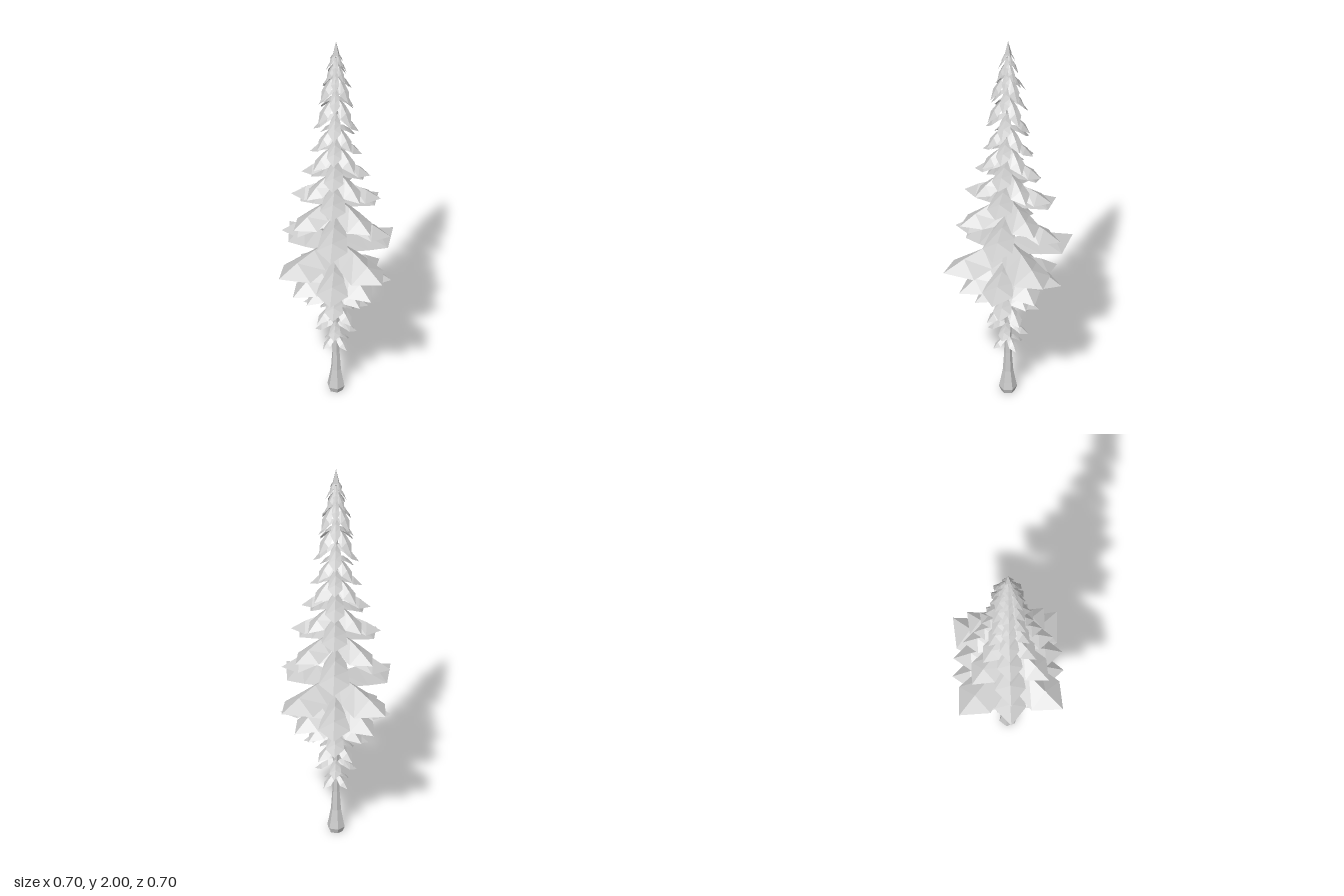
import * as THREE from 'three';

const material = new THREE.MeshStandardMaterial({ color: 0xcccccc, flatShading: true, side: THREE.DoubleSide });

// One folded bough pointing along +z: ridge in the middle, both edges drooping, pointed tip.
function boughGeometry(reach, rise) {
  const fold = 0.2 * reach;
  // distance, half width, ridge height, edge height (heights relative to the tip)
  const sections = [
    [0.005, 0.16 * reach, rise, rise - 0.8 * fold],
    [0.38 * reach, 0.24 * reach, rise * 0.82, rise * 0.82 - fold],
    [0.68 * reach, 0.285 * reach, rise * 0.5, rise * 0.5 - 0.9 * fold],
    [reach, 0, 0, 0],
  ];
  const positions = [];
  const point = (i, j) => {
    const [z, w, ridge, edge] = sections[i];
    return [(j - 1) * w, j === 1 ? ridge : edge, z];
  };
  for (let i = 0; i < 3; i++) {
    for (let j = 0; j < 2; j++) {
      const a = point(i, j), b = point(i + 1, j), c = point(i + 1, j + 1), d = point(i, j + 1);
      positions.push(...a, ...b, ...d);
      if (i < 2) positions.push(...b, ...c, ...d);
    }
  }
  const geometry = new THREE.BufferGeometry();
  geometry.setAttribute('position', new THREE.Float32BufferAttribute(positions, 3));
  geometry.computeVertexNormals();
  return geometry;
}

// Four equal boughs around the trunk.
function makeTier(tipY, reach, rise, turn) {
  const tier = new THREE.Group();
  tier.name = 'branchTier';
  const geometry = boughGeometry(reach, rise);
  for (let k = 0; k < 4; k++) {
    const bough = new THREE.Mesh(geometry, material);
    bough.name = 'bough';
    bough.rotation.y = turn + k * Math.PI / 2;
    tier.add(bough);
  }
  tier.position.y = tipY;
  return tier;
}

export function createModel() {
  const tree = new THREE.Group();
  tree.name = 'coniferTree';

  // Slim trunk with a flared foot
  const profile = [[0, 0], [0.033, 0], [0.043, 0.025], [0.036, 0.06], [0.025, 0.12], [0.018, 0.22],
    [0.016, 0.5], [0.014, 1.1], [0.007, 1.85], [0, 1.95]];
  const trunk = new THREE.Mesh(
    new THREE.LatheGeometry(profile.map(([r, y]) => new THREE.Vector2(r, y)), 6), material);
  trunk.name = 'trunk';
  tree.add(trunk);

  // Tiers facing the four sides: tip height, reach, rise of the root above the tip
  const straight = [
    [0.26, 0.08, 0.06], [0.42, 0.115, 0.08], [0.555, 0.18, 0.1], [0.635, 0.265, 0.12],
    [0.78, 0.35, 0.09], [1.02, 0.26, 0.09], [1.16, 0.18, 0.1], [1.31, 0.14, 0.1],
    [1.42, 0.115, 0.1], [1.565, 0.11, 0.12], [1.69, 0.095, 0.12], [1.79, 0.058, 0.09],
    [1.87, 0.04, 0.07],
  ];
  // Tiers on the diagonals
  const diagonal = [
    [0.34, 0.1, 0.06], [0.49, 0.155, 0.09], [0.645, 0.265, 0.12], [0.895, 0.26, 0.12],
    [1.11, 0.215, 0.09], [1.24, 0.165, 0.09], [1.36, 0.125, 0.09], [1.49, 0.11, 0.1],
    [1.63, 0.085, 0.1], [1.74, 0.065, 0.09], [1.83, 0.05, 0.08],
  ];
  const twist = -0.03;
  for (const [y, reach, rise] of straight) tree.add(makeTier(y, reach, rise, twist));
  for (const [y, reach, rise] of diagonal) tree.add(makeTier(y, reach, rise, Math.PI / 4 + twist));

  // Pointed crown
  const crown = new THREE.Mesh(new THREE.ConeGeometry(0.021, 0.08, 4), material);
  crown.name = 'crownTip';
  crown.position.y = 1.96;
  tree.add(crown);
  return tree;
}
